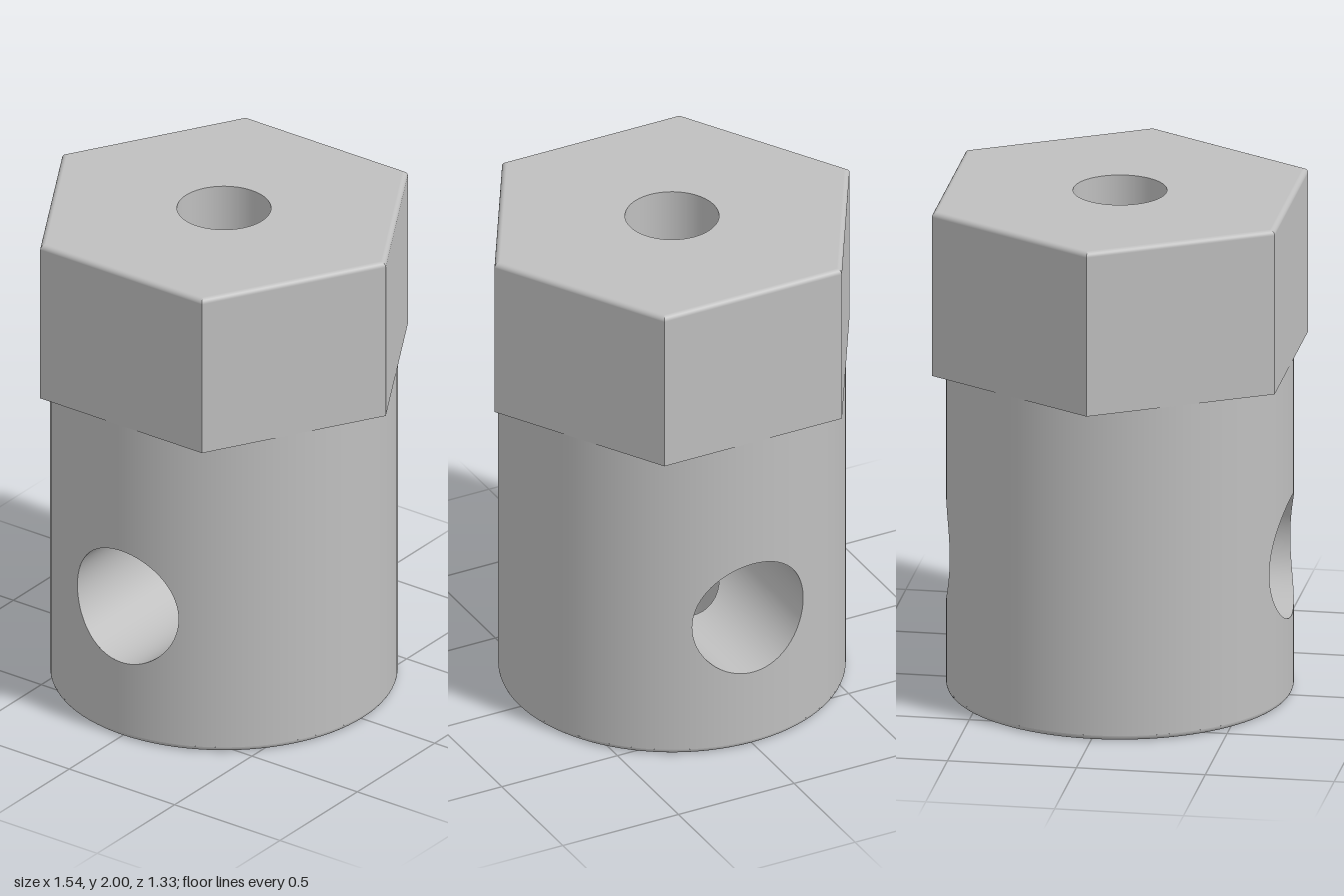
import * as THREE from 'three';

const R = 0.665;              // barrel radius
const BORE = 0.18;            // vertical bore radius
const CROSS = 0.24;           // cross hole radius
const CROSS_Y = 0.56;         // cross hole height
const HEAD_Y = 1.34;          // underside of the hex head
const TOP = 2;
const FILLET = 0.02;
const HEX = R / Math.cos(Math.PI / 6);

const range = (from, to, n) => Array.from({ length: n + 1 }, (_, i) => from + (to - from) * i / n);

// Ruled surfaces: each strip is a list of columns { a, b, n } = two end points and a shared normal.
function ruled(strips) {
  const pos = [], nor = [];
  const edge1 = new THREE.Vector3(), edge2 = new THREE.Vector3();
  const triangle = (p, n) => {
    const face = edge1.subVectors(p[1], p[0]).cross(edge2.subVectors(p[2], p[0]));
    if (face.lengthSq() < 1e-16) return;
    const order = face.dot(n[0]) < 0 ? [0, 2, 1] : [0, 1, 2];
    for (const k of order) {
      pos.push(...p[k].toArray());
      nor.push(...n[k].toArray());
    }
  };
  for (const cols of strips) {
    for (let i = 0; i + 1 < cols.length; i++) {
      const c = cols[i], d = cols[i + 1];
      triangle([c.a, d.a, d.b], [c.n, d.n, d.n]);
      triangle([c.a, d.b, c.b], [c.n, d.n, c.n]);
    }
  }
  const g = new THREE.BufferGeometry();
  g.setAttribute('position', new THREE.Float32BufferAttribute(pos, 3));
  g.setAttribute('normal', new THREE.Float32BufferAttribute(nor, 3));
  return g;
}

// Upright column of a cylinder wall; facing is 1 outward, -1 inward
function upright(angle, r, y0, y1, facing) {
  const s = Math.sin(angle), c = Math.cos(angle);
  return {
    a: new THREE.Vector3(r * s, y0, r * c),
    b: new THREE.Vector3(r * s, y1, r * c),
    n: new THREE.Vector3(s * facing, 0, c * facing),
  };
}

const crossHalf = x => Math.sqrt(Math.max(0, CROSS * CROSS - x * x));

// Barrel wall, cut by the cross hole at front and back
function barrelWall() {
  const strips = [], edge = Math.asin(CROSS / R);
  for (const turn of [0, Math.PI]) {
    const xs = range(0, Math.PI, 48).map(t => -CROSS * Math.cos(t));
    strips.push(xs.map(x => upright(turn + Math.asin(x / R), R, FILLET, CROSS_Y - crossHalf(x), 1)));
    strips.push(xs.map(x => upright(turn + Math.asin(x / R), R, CROSS_Y + crossHalf(x), HEAD_Y, 1)));
    strips.push(range(turn + edge, turn + Math.PI - edge, 36).map(t => upright(t, R, FILLET, HEAD_Y, 1)));
  }
  return ruled(strips);
}

// Vertical bore, interrupted where the cross hole passes
function boreWall() {
  const angles = range(0, Math.PI * 2, 96);
  const half = t => crossHalf(BORE * Math.sin(t));
  return ruled([
    angles.map(t => upright(t, BORE, 0, CROSS_Y - half(t), -1)),
    angles.map(t => upright(t, BORE, CROSS_Y + half(t), TOP, -1)),
  ]);
}

// Cross hole wall, opening into the vertical bore
function crossWall() {
  const k = Math.acos(BORE / CROSS), strips = [];
  const breaks = [-k, k, Math.PI - k, Math.PI + k, Math.PI * 2 - k];
  for (const side of [1, -1]) {
    for (let i = 0; i < 4; i++) {
      strips.push(range(breaks[i], breaks[i + 1], 28).map(t => {
        const x = CROSS * Math.cos(t), y = CROSS_Y + CROSS * Math.sin(t);
        const inner = Math.sqrt(Math.max(0, BORE * BORE - x * x));
        return {
          a: new THREE.Vector3(x, y, side * inner),
          b: new THREE.Vector3(x, y, side * Math.sqrt(R * R - x * x)),
          n: new THREE.Vector3(-Math.cos(t), -Math.sin(t), 0),
        };
      }));
    }
  }
  return ruled(strips);
}

// Bottom face with a rounded outer edge
function barrelBase() {
  const inner = R - FILLET;
  const pts = [[BORE, 0], [inner - 0.004, 0]].map(p => new THREE.Vector2(...p));
  for (const t of range(0, Math.PI / 2, 6)) {
    pts.push(new THREE.Vector2(inner + FILLET * Math.sin(t), FILLET * (1 - Math.cos(t))));
  }
  return new THREE.LatheGeometry(pts, 96);
}

// Six flat sides, rounded over at the top edge
function headSides() {
  const strips = [];
  const levels = [{ inset: 0, y: HEAD_Y, t: 0 }];
  for (const t of range(0, Math.PI / 2, 6)) {
    levels.push({ inset: FILLET * (1 - Math.cos(t)), y: TOP - FILLET * (1 - Math.sin(t)), t });
  }
  for (let i = 0; i < 6; i++) {
    const a0 = i * Math.PI / 3, a1 = a0 + Math.PI / 3, mid = a0 + Math.PI / 6;
    strips.push(levels.map(({ inset, y, t }) => {
      const r = HEX * (R - inset) / R;
      return {
        a: new THREE.Vector3(r * Math.cos(a0), y, r * Math.sin(a0)),
        b: new THREE.Vector3(r * Math.cos(a1), y, r * Math.sin(a1)),
        n: new THREE.Vector3(Math.cos(t) * Math.cos(mid), Math.sin(t), Math.cos(t) * Math.sin(mid)),
      };
    }));
  }
  return ruled(strips);
}

// Flat hexagon with a round hole
function hexPlate(r, hole) {
  const corners = range(0, 5, 5).map(i =>
    new THREE.Vector2(r * Math.cos(i * Math.PI / 3), r * Math.sin(i * Math.PI / 3)));
  const shape = new THREE.Shape(corners);
  shape.holes.push(new THREE.Path().absarc(0, 0, hole, 0, Math.PI * 2, true));
  return new THREE.ShapeGeometry(shape, 48);
}

export function createModel() {
  const steel = new THREE.MeshStandardMaterial({ color: 0xbfbfbf });
  steel.name = 'steel grey';
  const model = new THREE.Group();
  model.name = 'hexHeadSocket';

  const group = name => {
    const g = new THREE.Group();
    g.name = name;
    model.add(g);
    return g;
  };
  const add = (parent, name, geometry) => {
    const mesh = new THREE.Mesh(geometry, steel);
    mesh.name = name;
    parent.add(mesh);
  };

  const barrel = group('barrel');
  add(barrel, 'barrelWall', barrelWall());
  add(barrel, 'barrelBase', barrelBase());

  const head = group('hexHead');
  add(head, 'headSides', headSides());
  add(head, 'headTop', hexPlate(HEX * (R - FILLET) / R, BORE).rotateX(-Math.PI / 2).translate(0, TOP, 0));
  add(head, 'headUnderside', hexPlate(HEX, R - 0.004).rotateX(Math.PI / 2).translate(0, HEAD_Y, 0));

  const holes = group('holes');
  add(holes, 'verticalBore', boreWall());
  add(holes, 'crossHole', crossWall());
  return model;
}
